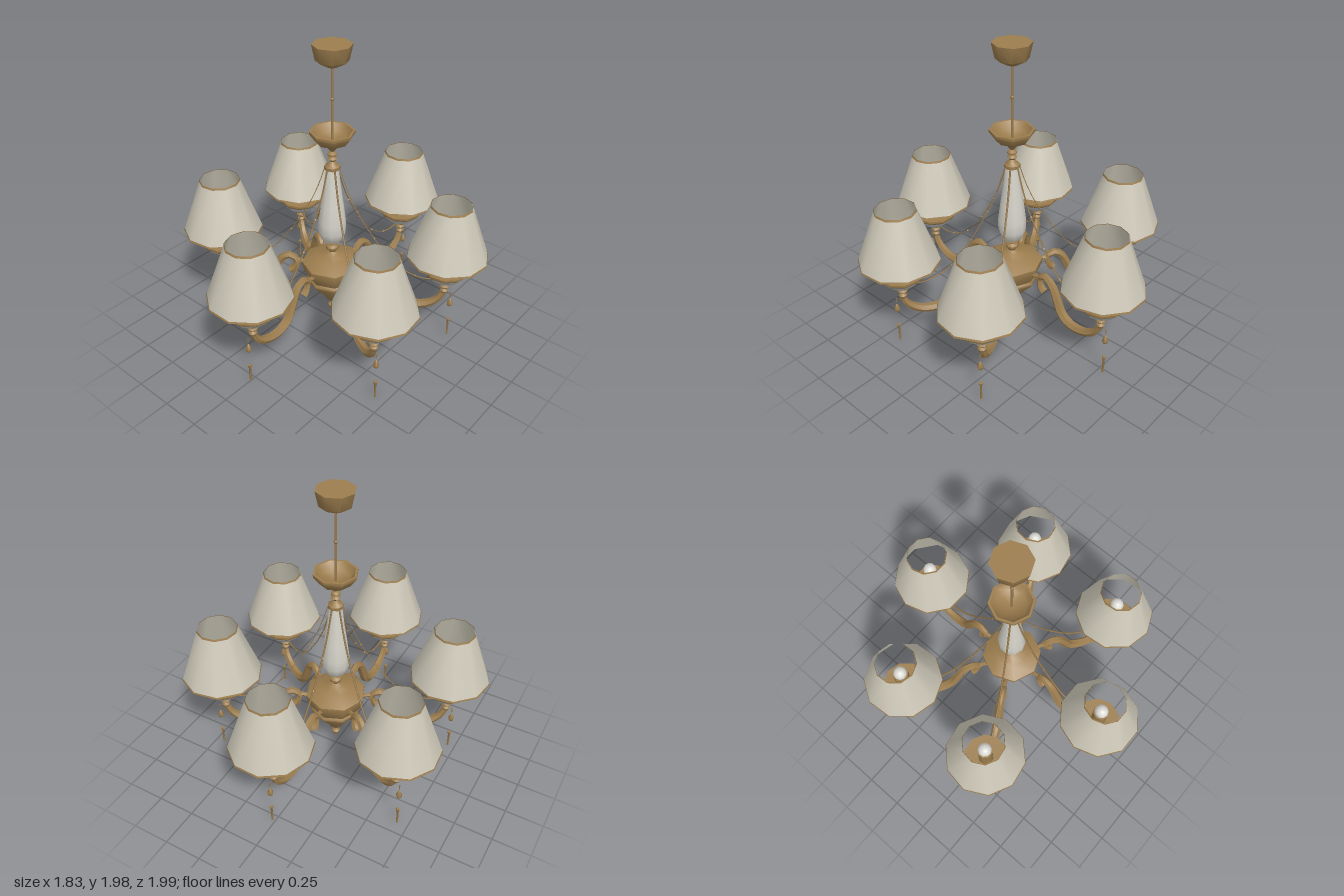
import * as THREE from 'three';
import { toCreasedNormals } from 'three/addons/utils/BufferGeometryUtils.js';

const mat = (name, color, side = THREE.FrontSide) => {
  const m = new THREE.MeshStandardMaterial({ color, side });
  m.name = name;
  return m;
};

export function createModel() {
  const brass = mat('brass', 0x9c7d4e, THREE.DoubleSide);
  const fabric = mat('shade fabric', 0xcdc8b8, THREE.DoubleSide);
  const glass = mat('frosted glass', 0xd4d2c8);
  const cupGlass = mat('cup glass', 0xbfc4c2);
  const bulbWhite = mat('bulb white', 0xdcdad4);

  const model = new THREE.Group();
  model.name = 'chandelier';

  const add = (parent, name, geo, material, x = 0, y = 0, z = 0) => {
    const m = new THREE.Mesh(geo, material);
    m.name = name;
    m.position.set(x, y, z);
    parent.add(m);
    return m;
  };
  // Turned part: [radius, height] pairs listed from bottom to top
  const turned = (pts, sides = 8) => toCreasedNormals(
    new THREE.LatheGeometry(pts.map(p => new THREE.Vector2(p[0], p[1])), sides), 0.85);
  // Curve in the upright plane of an arm: x is the distance from the column
  const curve = pts => new THREE.CatmullRomCurve3(pts.map(p => new THREE.Vector3(p[0], p[1], 0)));
  // Tube whose radius follows a function of the position along it
  const taperTube = (path, segs, sides, radiusAt) => {
    const g = new THREE.TubeGeometry(path, segs, 1, sides);
    const pos = g.attributes.position, v = new THREE.Vector3();
    for (let i = 0; i <= segs; i++) {
      const c = path.getPointAt(i / segs), r = radiusAt(i / segs);
      for (let j = 0; j <= sides; j++) {
        const k = i * (sides + 1) + j;
        v.fromBufferAttribute(pos, k).sub(c).multiplyScalar(r).add(c);
        pos.setXYZ(k, v.x, v.y, v.z);
      }
    }
    g.computeVertexNormals();
    return toCreasedNormals(g, 0.85);
  };

  // Central column
  const column = new THREE.Group();
  column.name = 'column';
  model.add(column);
  add(column, 'ceilingCanopy', turned([[0, 1.83], [0.03, 1.84], [0.1, 1.88], [0.12, 1.975], [0, 1.975]]), brass);
  add(column, 'hangingRod', new THREE.CylinderGeometry(0.008, 0.008, 0.52, 6), brass, 0, 1.59, 0);
  add(column, 'rodLink', new THREE.SphereGeometry(0.013, 6, 4), brass, 0, 1.64, 0);
  add(column, 'upperBowl', turned([[0, 1.29], [0.02, 1.31], [0.045, 1.34], [0.1, 1.365], [0.14, 1.42],
    [0.14, 1.437], [0.125, 1.437], [0.09, 1.39], [0, 1.37]]), brass);
  add(column, 'upperKnob', turned([[0, 1.18], [0.05, 1.18], [0.05, 1.2], [0.03, 1.215], [0.018, 1.235], [0.032, 1.25],
    [0.015, 1.265], [0.03, 1.275], [0.03, 1.285], [0.01, 1.3]]), brass);
  add(column, 'glassVase', turned([[0.03, 0.64], [0.07, 0.67], [0.09, 0.73], [0.09, 0.8], [0.075, 0.92],
    [0.055, 1.06], [0.042, 1.18]], 10), glass);
  add(column, 'lowerBody', turned([[0, 0.1], [0.02, 0.1], [0.03, 0.125], [0.012, 0.145], [0.02, 0.165], [0.05, 0.19],
    [0.075, 0.24], [0.165, 0.34], [0.17, 0.36], [0.16, 0.375], [0.185, 0.42], [0.2, 0.47], [0.2, 0.49],
    [0.11, 0.535], [0.05, 0.552], [0.025, 0.57], [0.04, 0.59], [0.04, 0.605], [0.02, 0.62], [0.045, 0.64], [0, 0.645]]), brass);

  // Shared geometry for the lamps
  const shadeSides = 10;
  const shadeR = y => 0.26 - (y - 0.64) / 0.37 * 0.132;
  const band = (a, b, grow = 0) => new THREE.CylinderGeometry(shadeR(b) + grow, shadeR(a) + grow, b - a, shadeSides, 1, true);
  const shadeGeo = band(0.64, 1.01);
  const lowTrim = band(0.639, 0.65, 0.002), topTrim = band(1.0, 1.013, 0.002);
  const rimGeo = turned([[0.115, 0.5], [0.14, 0.52], [0.148, 0.53], [0.148, 0.545], [0, 0.54]], 10);
  const cupGeo = turned([[0.035, 0.435], [0.07, 0.45], [0.115, 0.49], [0.136, 0.523]], 10);
  const finialGeo = turned([[0, 0.34], [0.02, 0.345], [0.028, 0.365], [0.015, 0.38], [0.034, 0.4], [0.02, 0.42],
    [0.055, 0.438], [0.06, 0.445], [0, 0.448]]);
  const candleGeo = new THREE.CylinderGeometry(0.05, 0.05, 0.23, 8);
  const bulbGeo = new THREE.SphereGeometry(0.045, 10, 8);

  // Shared geometry for the arms and chains
  const armGeo = taperTube(curve([[0.74, 0.35], [0.71, 0.29], [0.63, 0.235], [0.52, 0.225], [0.44, 0.27],
    [0.39, 0.37], [0.35, 0.45], [0.3, 0.488], [0.25, 0.47], [0.235, 0.44]]), 18, 6,
    t => 0.02 + 0.012 * Math.sin(Math.PI * t));
  const leafGeo = taperTube(curve([[0.25, 0.47], [0.245, 0.43], [0.265, 0.385], [0.285, 0.37]]), 5, 6,
    t => 0.015 + 0.013 * t);
  const linkGeo = taperTube(curve([[0.16, 0.44], [0.2, 0.455], [0.25, 0.46]]), 3, 6, () => 0.014);
  const chainPath = curve([[0.045, 1.19], [0.09, 1.05], [0.14, 0.93], [0.21, 0.8], [0.31, 0.65],
    [0.42, 0.52], [0.53, 0.455], [0.63, 0.435], [0.71, 0.45]]);
  const chainGeo = new THREE.TubeGeometry(chainPath, 22, 0.0025, 4);
  chainGeo.scale(1, 1, 2.4);
  const chainBead = new THREE.OctahedronGeometry(0.009);

  // Pendant pieces hanging below each lamp
  const dropGeo = turned([[0, 0.235], [0.016, 0.245], [0.02, 0.26], [0.007, 0.295], [0, 0.3]], 6);
  const rodGeo = turned([[0, 0], [0.007, 0], [0.007, 0.11], [0.012, 0.115], [0.012, 0.13], [0, 0.133]], 6);
  const wireGeo = new THREE.CylinderGeometry(0.004, 0.004, 0.035, 4);

  // Six lamp branches, placed by the spot of each lamp on the plan
  const spots = [[0.02, -0.742], [0.655, -0.352], [0.635, 0.373], [0, 0.742], [-0.66, 0.342], [-0.64, -0.395]];
  for (const [x, z] of spots) {
    const r = Math.hypot(x, z);
    const branch = new THREE.Group();
    branch.name = 'branch';
    branch.rotation.y = Math.atan2(-z, x);
    model.add(branch);

    add(branch, 'arm', armGeo, brass);
    add(branch, 'armScroll', leafGeo, brass);
    add(branch, 'armLink', linkGeo, brass);
    add(branch, 'chain', chainGeo, brass);
    for (const t of [0.3, 0.5, 0.7, 0.85]) {
      const p = chainPath.getPointAt(t);
      add(branch, 'chainBead', chainBead, brass, p.x, p.y, 0);
    }

    const lamp = new THREE.Group();
    lamp.name = 'lamp';
    lamp.position.x = r;
    branch.add(lamp);
    add(lamp, 'shade', shadeGeo, fabric, 0, 0.825, 0);
    add(lamp, 'shadeLowerTrim', lowTrim, brass, 0, 0.6445, 0);
    add(lamp, 'shadeUpperTrim', topTrim, brass, 0, 1.0065, 0);
    add(lamp, 'cupRim', rimGeo, brass);
    add(lamp, 'glassCup', cupGeo, cupGlass);
    add(lamp, 'finial', finialGeo, brass);
    add(lamp, 'candle', candleGeo, brass, 0, 0.65, 0);
    add(lamp, 'bulb', bulbGeo, bulbWhite, 0, 0.79, 0);

    const pendant = new THREE.Group();
    pendant.name = 'pendant';
    pendant.position.x = r + 0.045;
    branch.add(pendant);
    add(pendant, 'pendantWire', wireGeo, brass, 0, 0.333, 0);
    add(pendant, 'pendantDrop', dropGeo, brass);
    add(pendant, 'pendantRod', rodGeo, brass);
  }
  return model;
}
